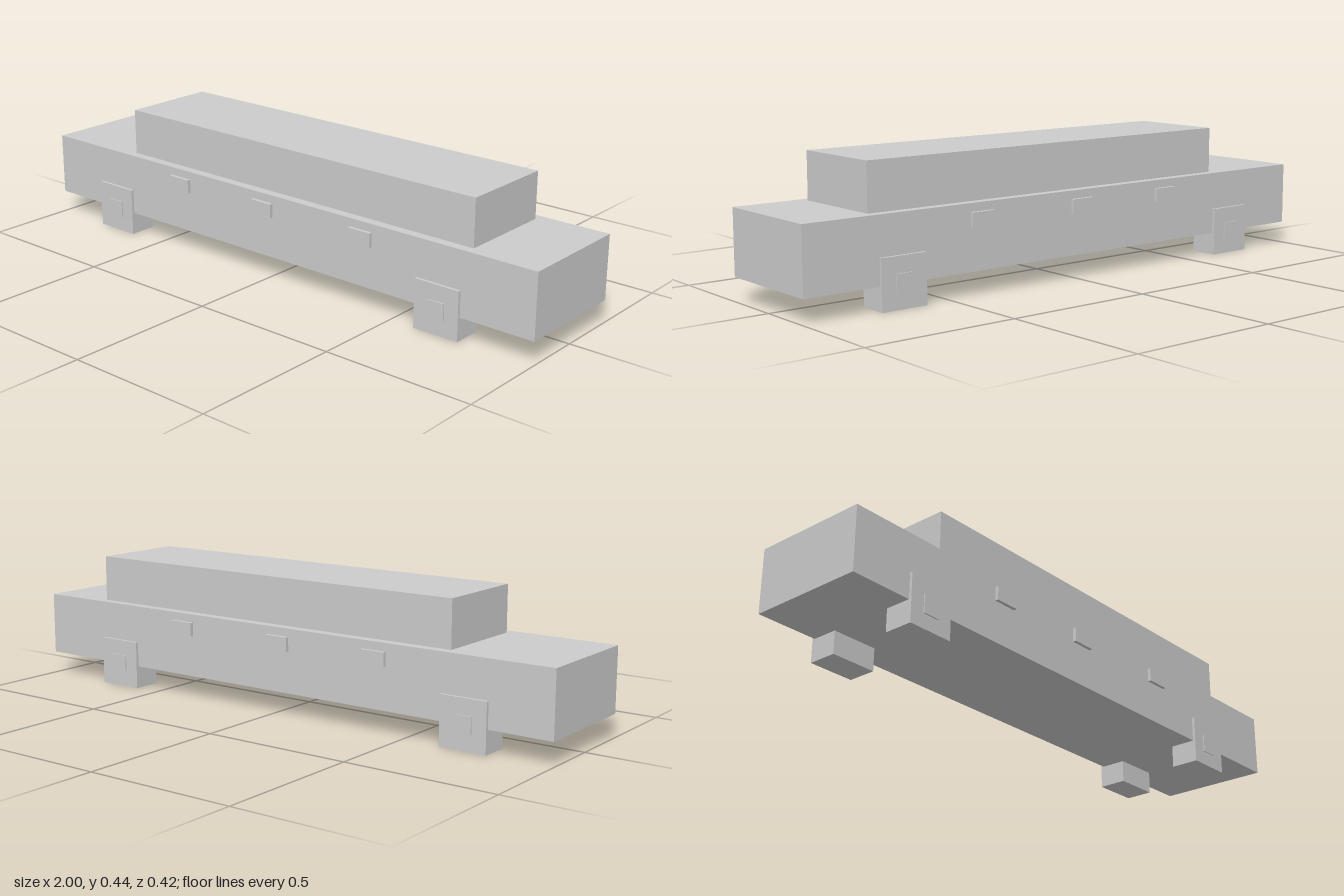
import * as THREE from 'three';

const material = new THREE.MeshStandardMaterial({ color: 0xcccccc, flatShading: true });

// Box given by its [min, max] range on each axis
function box(name, [x0, x1], [y0, y1], [z0, z1]) {
  const mesh = new THREE.Mesh(new THREE.BoxGeometry(x1 - x0, y1 - y0, z1 - z0), material);
  mesh.position.set((x0 + x1) / 2, (y0 + y1) / 2, (z0 + z1) / 2);
  mesh.name = name;
  return mesh;
}

export function createModel() {
  const car = new THREE.Group();
  car.name = 'car';

  // Long lower body and the cabin on top
  car.add(box('body', [-1, 1], [0.075, 0.285], [-0.195, 0.195]));
  car.add(box('cabin', [-0.642, 0.765], [0.285, 0.438], [-0.163, 0.163]));

  for (const [side, s] of [['left', 1], ['right', -1]]) {
    const depth = (inner, outer) => (s > 0 ? [inner, outer] : [-outer, -inner]);
    const label = s > 0 ? 'front' : 'back';

    // Square wheels with a small raised hub
    for (const x of [-0.71, 0.668]) {
      const wheel = new THREE.Group();
      wheel.name = `${label}SideWheel`;
      wheel.add(box('tyre', [x - 0.079, x + 0.079], [0, 0.16], depth(0.108, 0.2045)));
      wheel.add(box('hub', [x - 0.03, x + 0.03], [0.048, 0.108], depth(0.19, 0.208)));
      car.add(wheel);
    }

    // Door handles along the flank
    for (const x of [-0.391, -0.022, 0.378]) {
      car.add(box(`${label}SideDoorHandle`, [x - 0.042, x + 0.042], [0.212, 0.258], depth(0.185, 0.2065)));
    }
  }
  return car;
}
